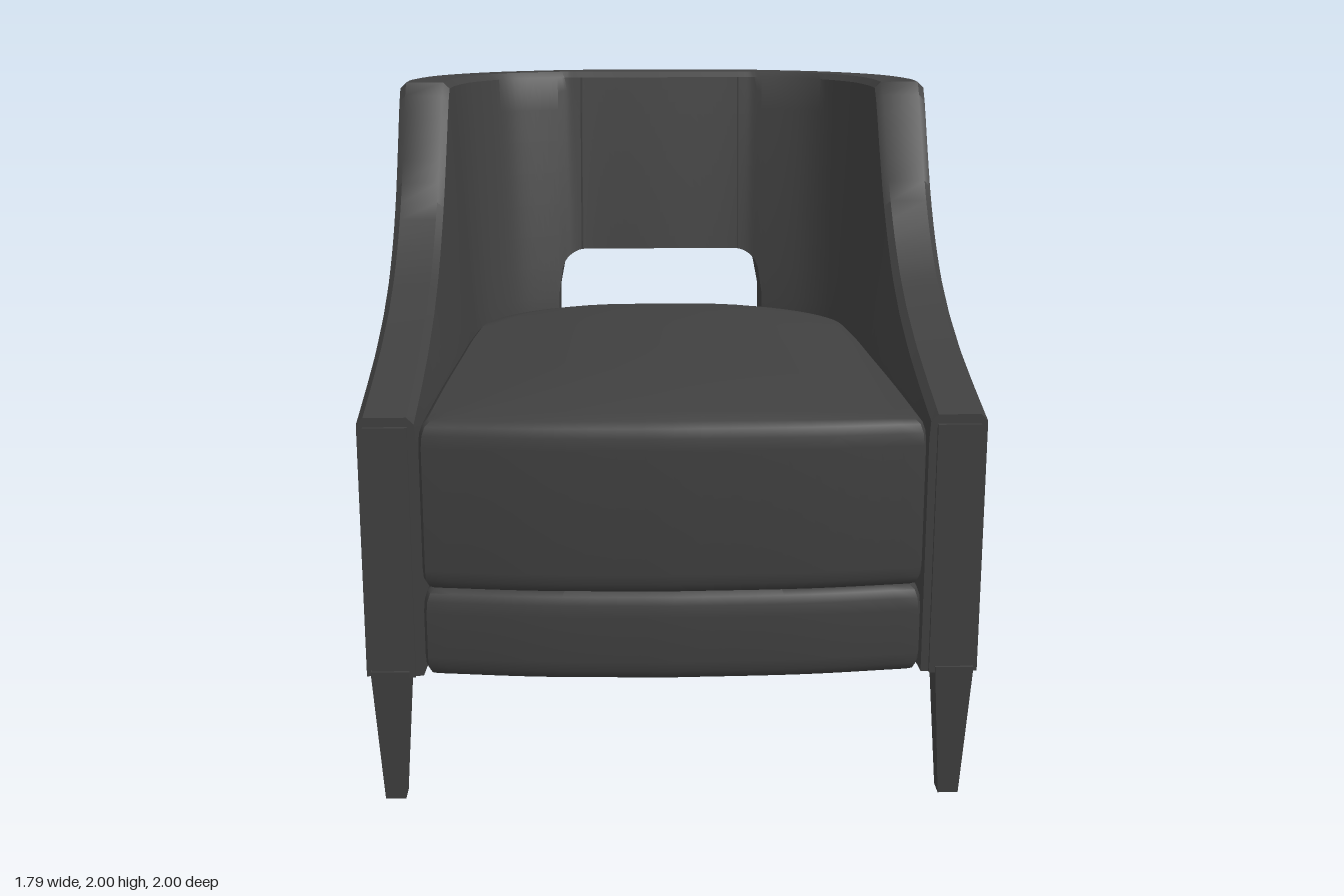
import * as THREE from 'three';
import { toCreasedNormals } from 'three/addons/utils/BufferGeometryUtils.js';

const material = new THREE.MeshStandardMaterial({ color: 0x404040 });
const V = (x, y, z) => new THREE.Vector3(x, y, z);
const clamp01 = (v) => Math.min(1, Math.max(0, v));

function add(group, name, geometry, crease = 0.6) {
  const mesh = new THREE.Mesh(toCreasedNormals(geometry, crease), material);
  mesh.name = name;
  group.add(mesh);
  return mesh;
}

// Joins neighbouring columns of points into a surface
function skin(columns, wrapRing, capEnds) {
  const out = [];
  const tri = (...p) => p.forEach((v) => out.push(v.x, v.y, v.z));
  const m = columns[0].length;
  for (let i = 0; i < columns.length - 1; i++) {
    const A = columns[i], B = columns[i + 1];
    for (let j = 0; j < (wrapRing ? m : m - 1); j++) {
      const k = (j + 1) % m;
      tri(A[j], B[j], A[k]);
      tri(B[j], B[k], A[k]);
    }
  }
  if (capEnds) {
    const A = columns[0], B = columns[columns.length - 1];
    for (let j = 0; j < m / 2 - 1; j++) {
      const p = m - 1 - j, q = m - 2 - j;
      tri(A[j], A[j + 1], A[q]); tri(A[j], A[q], A[p]);
      tri(B[j], B[q], B[j + 1]); tri(B[j], B[p], B[q]);
    }
  }
  const g = new THREE.BufferGeometry();
  g.setAttribute('position', new THREE.Float32BufferAttribute(out, 3));
  return g;
}

// Plan curves of the wraparound shell, from back centre to arm front, then mirrored
const plan = (half) => new THREE.CatmullRomCurve3([
  ...half.slice(1).reverse().map(([x, z]) => V(-x, 0, z)),
  ...half.map(([x, z]) => V(x, 0, z)),
], false, 'catmullrom', 0.5);
const outer = plan([[0, -1], [0.28, -0.99], [0.375, -0.97], [0.62, -0.865], [0.8, -0.7],
  [0.88, -0.5], [0.89, -0.34], [0.89, 0], [0.89, 0.4], [0.89, 0.94]]);
const innerTop = plan([[0, -0.86], [0.28, -0.86], [0.375, -0.85], [0.55, -0.78], [0.665, -0.64],
  [0.71, -0.5], [0.725, -0.34], [0.735, 0], [0.735, 0.4], [0.73, 0.94]]);
const innerLow = plan([[0, -0.71], [0.28, -0.71], [0.375, -0.68], [0.51, -0.6], [0.6, -0.51],
  [0.64, -0.43], [0.66, -0.32], [0.68, 0], [0.7, 0.4], [0.725, 0.94]]);
const SPAN = 9, FLOOR = 0.39;
const at = (curve, s) => curve.getPoint((s + SPAN) / (2 * SPAN));

// Height of the wall top along the depth of the chair
const tops = [[-0.34, 2], [-0.3, 1.95], [-0.22, 1.81], [-0.15, 1.7], [-0.08, 1.61], [0, 1.53],
  [0.07, 1.47], [0.15, 1.415], [0.3, 1.34], [0.5, 1.27], [0.7, 1.22], [0.95, 1.165]];
function topY(z) {
  if (z <= tops[0][0]) return 2;
  for (let i = 1; i < tops.length; i++) {
    const [z0, y0] = tops[i - 1], [z1, y1] = tops[i];
    if (z <= z1) return y0 + (y1 - y0) * (z - z0) / (z1 - z0);
  }
  return 1.165;
}

// Points on the leaning outer face and the padded inner face
function outerPoint(s, y) {
  const p = at(outer, s);
  return V(p.x, y, p.z + 0.065 * (2 - y) * clamp01((-p.z - 0.35) / 0.6));
}
function innerPoint(s, y) {
  const top = topY(at(outer, s).z);
  const p = at(innerLow, s).lerp(at(innerTop, s), clamp01((y - 1.1) / (top - 1.1)));
  return V(p.x, y, p.z);
}

function shellColumn(s, open) {
  const x = Math.abs(at(outer, s).x), top = topY(at(outer, s).z), N = 14;
  const low = open ? 1.2 + 0.16 * Math.sqrt(1 - clamp01((x - 0.28) / 0.095) ** 2) : FLOOR;
  const ring = [], inside = [];
  for (let k = 0; k <= N; k++) {
    const y = low + (top - 0.02 - low) * k / N;
    ring.push(outerPoint(s, y));
    inside.unshift(innerPoint(s, y));
  }
  const a = outerPoint(s, top), b = innerPoint(s, top);
  return [...ring, a.clone().lerp(b, 0.12), a.clone().lerp(b, 0.88), ...inside];
}

function buildShell() {
  const columns = [], STEP = 8;
  for (let i = SPAN * STEP; i >= -SPAN * STEP; i--) {
    const s = i / STEP;
    // the opening's jambs need a closed and an open column at one place
    if (s === 2) columns.push(shellColumn(s, false), shellColumn(s, true));
    else if (s === -2) columns.push(shellColumn(s, true), shellColumn(s, false));
    else columns.push(shellColumn(s, Math.abs(s) < 2));
  }
  return skin(columns, true, true);
}

// Soft block with the seat outline, rounded edges and a domed top
function pillow(y0, y1, crown) {
  const curve = (pts) => new THREE.CatmullRomCurve3(pts.map(([x, z]) => V(x, 0, z)));
  const half = [
    ...curve([[0, -0.72], [-0.3, -0.71], [-0.52, -0.6], [-0.635, -0.45], [-0.665, -0.25],
      [-0.685, 0.1], [-0.705, 0.5], [-0.72, 0.92]]).getPoints(28),
    ...curve([[-0.71, 0.95], [-0.4, 0.985], [0, 1]]).getPoints(10),
  ];
  const loop = [...half, ...half.slice(0, -1).reverse().map((p) => V(-p.x, 0, p.z))];
  const rows = [[0, y0], [0.965, y0], [0.985, y0 + 0.01], [0.997, y0 + 0.03], [1, y0 + 0.06],
    [1, y1 - 0.07], [0.996, y1 - 0.035], [0.985, y1 - 0.012], [0.965, y1],
    ...[0.9, 0.8, 0.65, 0.5, 0.3, 0.15, 0].map((s) => [s, y1])];
  return skin(loop.map((p) => rows.map(([s, y], i) => {
    const x = p.x * s, dome = i > 6 ? crown * (1 - s ** 4) * (1 - (x / 0.74) ** 2) : 0;
    return V(x, y + dome, 0.13 + (p.z - 0.13) * s);
  })), false, false);
}

// Square tapered leg following a path of [x, z] from foot to top
function leg(path, foot, head, angle) {
  const h = FLOOR + 0.02;
  const curve = new THREE.QuadraticBezierCurve(...path.map(([x, z]) => new THREE.Vector2(x, z)));
  const g = new THREE.CylinderGeometry(Math.SQRT2, Math.SQRT2, h, 4, 10);
  g.rotateY(Math.PI / 4 + angle).translate(0, h / 2, 0);
  const p = g.attributes.position;
  for (let i = 0; i < p.count; i++) {
    const t = clamp01(p.getY(i) / h), c = curve.getPoint(t), r = foot + (head - foot) * t;
    p.setXYZ(i, c.x + p.getX(i) * r, p.getY(i), c.y + p.getZ(i) * r);
  }
  return g;
}

const seam = (points) => new THREE.TubeGeometry(
  new THREE.CatmullRomCurve3(points, false, 'centripetal'), points.length * 2, 0.004, 5);

export function createModel() {
  const chair = new THREE.Group();
  chair.name = 'armchair';

  add(chair, 'wraparoundShell', buildShell(), 0.55);
  add(chair, 'seatBase', pillow(FLOOR, 0.655, 0));
  add(chair, 'seatCushion', pillow(0.655, 1.15, 0.07));

  // Lower back panel, bent to follow the shell
  const side = new THREE.Shape();
  side.moveTo(0.69, FLOOR);
  side.lineTo(0.905, FLOOR);
  side.lineTo(0.925, 0.6);
  side.lineTo(0.957, 0.9);
  side.quadraticCurveTo(0.957, 0.95, 0.91, 0.95);
  side.lineTo(0.69, 0.93);
  const panel = new THREE.ExtrudeGeometry(side, { depth: 0.76, steps: 12, bevelEnabled: false });
  panel.translate(0, 0, -0.38).rotateY(Math.PI / 2);
  const pos = panel.attributes.position;
  for (let i = 0; i < pos.count; i++) pos.setZ(i, pos.getZ(i) + 0.2 * pos.getX(i) ** 2);
  add(chair, 'lowerBackPanel', panel);

  for (const m of [1, -1]) {
    const name = m > 0 ? 'left' : 'right';
    // Facing strip on the front of the arm
    const strip = new THREE.BoxGeometry(0.125, 0.75, 0.02).translate(m * 0.81, FLOOR + 0.375, 0.942);
    add(chair, name + 'ArmFacing', strip);

    add(chair, name + 'FrontLeg', leg([[m * 0.82, 0.91], [m * 0.82, 0.908], [m * 0.82, 0.905]], 0.03, 0.056, 0));
    add(chair, name + 'BackLeg',
      leg([[m * 0.645, -0.825], [m * 0.58, -0.755], [m * 0.565, -0.725]], 0.03, 0.055, m * 0.5));

    // Seams on the inside of the back and around the outer side panel
    const backSeam = [], upper = [], lower = [];
    for (let i = 0; i <= 10; i++) backSeam.push(innerPoint(m * 1.05, 1.36 + 0.062 * i));
    for (let s = 0; s <= 8.9; s += 0.2) {
      upper.push(outerPoint(m * s, topY(at(outer, s).z + 0.06) - (s > 6 ? 0.08 : 0.13)));
      if (s >= 2) lower.push(outerPoint(m * s, 0.555));
    }
    add(chair, name + 'BackSeam', seam(backSeam));
    add(chair, name + 'UpperSeam', seam(upper));
    add(chair, name + 'LowerSeam', seam(lower));
    add(chair, name + 'FrontSeam', seam([V(m * 0.89, 0.555, 0.88), V(m * 0.89, 0.8, 0.88), V(m * 0.89, 1.09, 0.88)]));
  }
  return chair;
}
